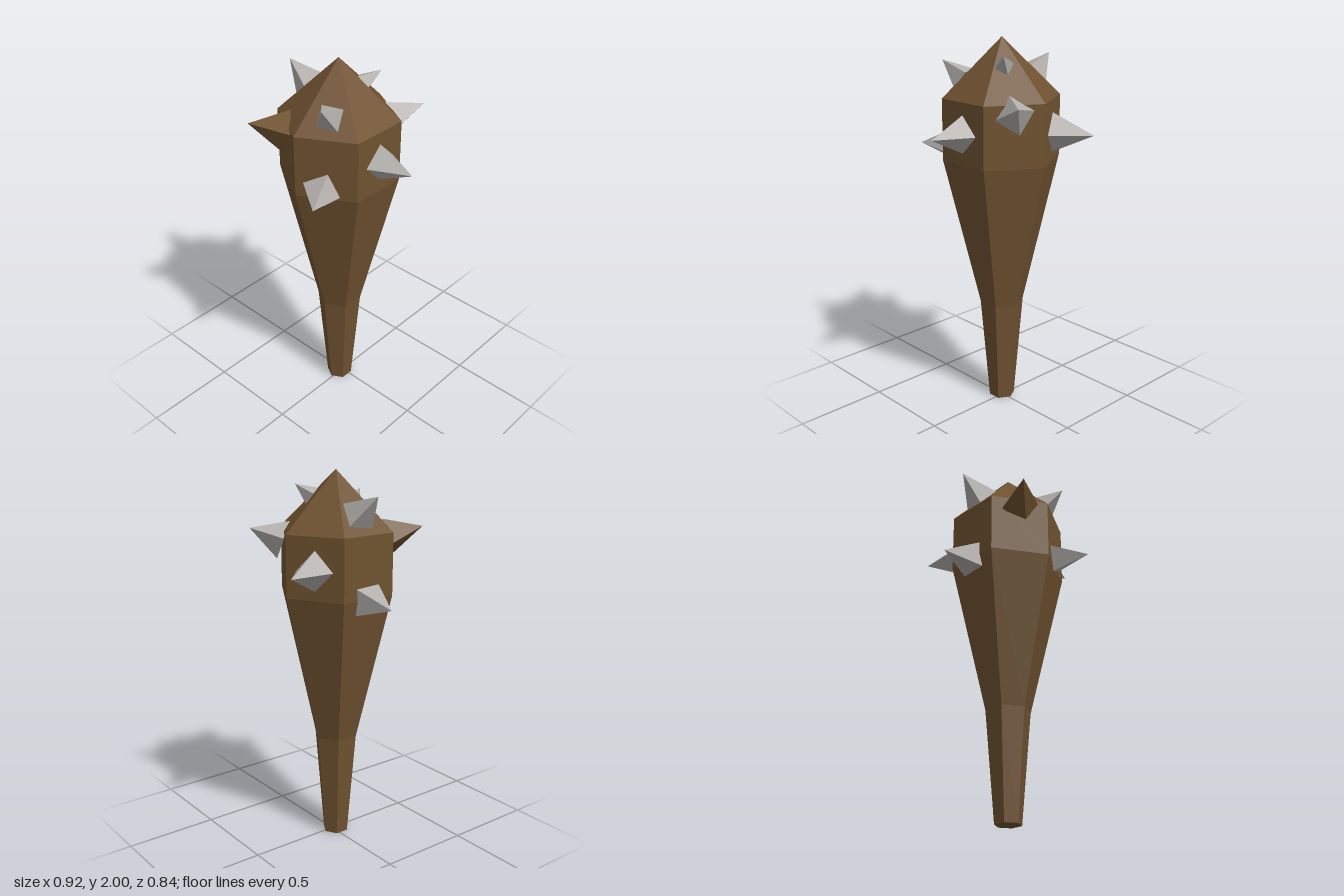
import * as THREE from 'three';

const V = (a) => new THREE.Vector3(...a);

export function createModel() {
  const wood = new THREE.MeshStandardMaterial({ color: 0x6f5230, flatShading: true });
  wood.name = 'brown wood';
  const metal = new THREE.MeshStandardMaterial({ color: 0xb2afac, flatShading: true });
  metal.name = 'grey metal';

  const club = new THREE.Group();
  club.name = 'spikedClub';

  // Six-sided body: slim grip, flaring shaft, straight head, pointed cap
  const profile = [[0, 0], [0.07, 0], [0.119, 0.58], [0.31, 1.38], [0.31, 1.7], [0, 2]];
  const body = new THREE.Mesh(
    new THREE.LatheGeometry(profile.map(([r, y]) => new THREE.Vector2(r, y)), 6), wood);
  body.name = 'clubBody';
  body.position.set(-0.01, 0, 0.016);
  club.add(body);

  // Four-sided spike from a base centre to a tip; one base corner points along "corner"
  function addSpike(name, base, tip, radius, corner, material = metal) {
    const start = V(base);
    const axis = V(tip).sub(start);
    const height = axis.length();
    axis.normalize();
    const side = V(corner);
    side.addScaledVector(axis, -side.dot(axis)).normalize();
    const geometry = new THREE.ConeGeometry(radius, height, 4).translate(0, height / 2, 0);
    geometry.applyMatrix4(new THREE.Matrix4().makeBasis(axis.clone().cross(side), axis, side));
    const spike = new THREE.Mesh(geometry, material);
    spike.name = name;
    spike.position.copy(start);
    club.add(spike);
  }

  // Spikes on the straight sides of the head
  addSpike('leftSpike', [0.258, 1.54, 0.015], [0.457, 1.54, 0.014], 0.097, [0, 1, 0]);
  addSpike('rightSpike', [-0.27, 1.377, 0.013], [-0.46, 1.36, 0.01], 0.1, [0, 1, 0.9]);
  addSpike('backRightSpike', [-0.144, 1.53, -0.216], [-0.232, 1.53, -0.42], 0.102, [0, 1, 0]);
  addSpike('frontLeftSpike', [0.104, 1.427, 0.26], [0.2, 1.427, 0.42], 0.097, [0.027, 0.09, -0.015]);

  // Spikes on the rim, tilted upward
  addSpike('woodenFrontSpike', [-0.143, 1.655, 0.247], [-0.254, 1.71, 0.39], 0.104, [0, 0.1, -0.05], wood);
  addSpike('backLeftSpike', [0.124, 1.65, -0.216], [0.23, 1.71, -0.35], 0.1, [0, 0.09, 0.036]);

  // Spikes on the cap, getting smaller toward the point
  addSpike('capRightSpike', [-0.199, 1.78, 0.006], [-0.347, 1.894, 0.01], 0.098, [0.055, 0.065, -0.053]);
  addSpike('capFrontSpike', [0.093, 1.781, 0.188], [0.145, 1.873, 0.298], 0.076, [0.036, 0.035, -0.058]);
  addSpike('capBackSpike', [0.065, 1.865, -0.077], [0.125, 1.926, -0.14], 0.053, [-0.008, 0.03, 0.035]);

  return club;
}
